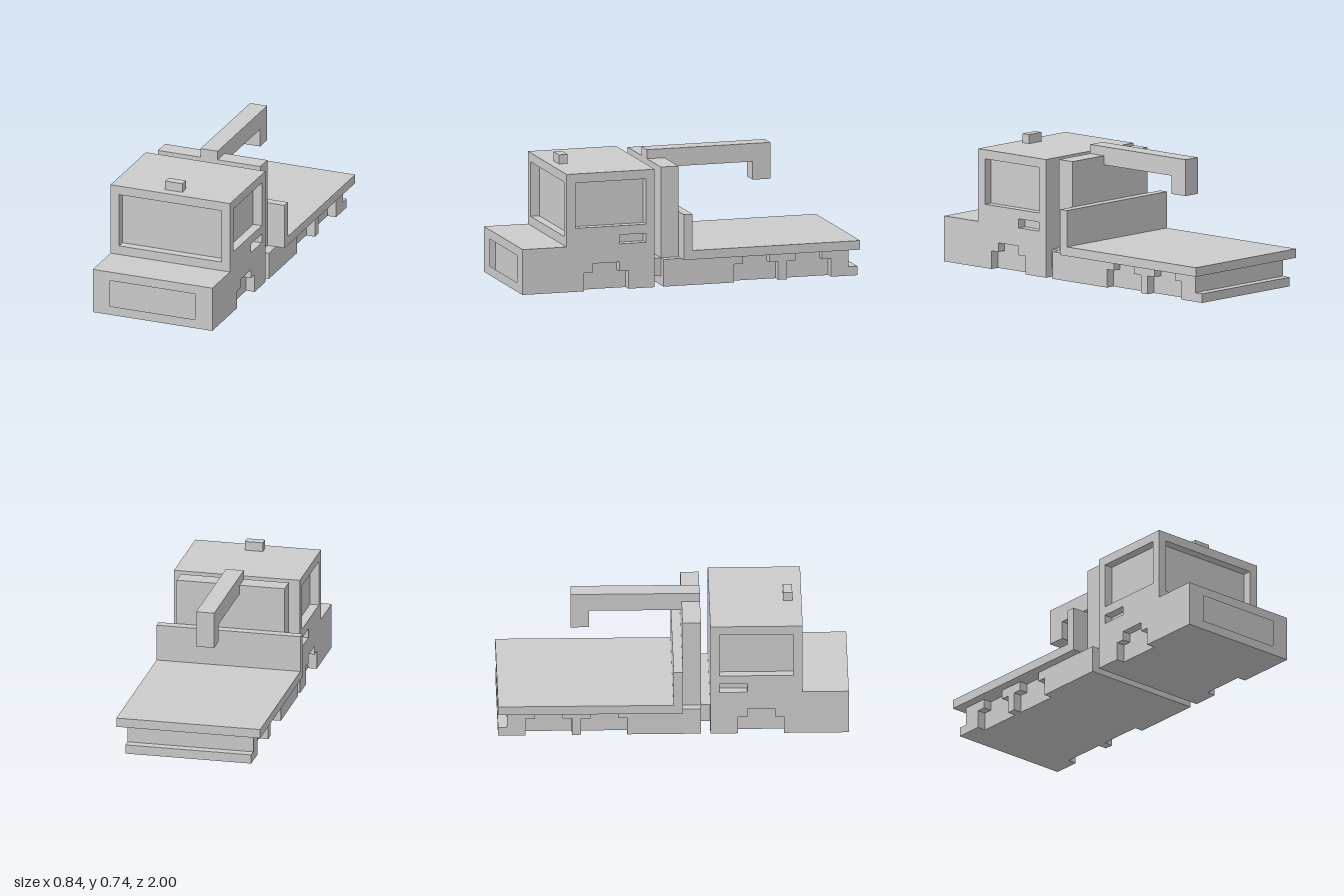
import * as THREE from 'three';

const U = 1 / 19; // one block of the model grid
const mat = new THREE.MeshStandardMaterial({ color: 0xcccccc, flatShading: true });

function add(parent, name, geo) {
  geo.scale(U, U, U);
  const mesh = new THREE.Mesh(geo, mat);
  mesh.name = name;
  parent.add(mesh);
}

// Box given by its extents in grid blocks
function block(parent, name, [x0, x1], [y0, y1], [z0, z1]) {
  const geo = new THREE.BoxGeometry(x1 - x0, y1 - y0, z1 - z0);
  geo.translate((x0 + x1) / 2, (y0 + y1) / 2, (z0 + z1) / 2);
  add(parent, name, geo);
}

const toShape = (pts) => new THREE.Shape(pts.map(([a, b]) => new THREE.Vector2(a, b)));
const rect = (a0, a1, b0, b1) => [[a0, b0], [a0, b1], [a1, b1], [a1, b0]];

function extrude(pts, holes, depth) {
  const shape = toShape(pts);
  holes.forEach((h) => shape.holes.push(toShape(h)));
  return new THREE.ExtrudeGeometry(shape, { depth, bevelEnabled: false });
}

// Side profile of [z, y] points extruded across x0..x1
function profile(parent, name, pts, x0, x1, holes = []) {
  const geo = extrude(pts, holes, x1 - x0);
  geo.rotateY(-Math.PI / 2);
  geo.translate(x1, 0, 0);
  add(parent, name, geo);
}

// The same profile as a one-block skin on both sides
function sidePair(parent, name, pts, holes) {
  profile(parent, name + 'Left', pts, 6, 7, holes);
  profile(parent, name + 'Right', pts, -7, -6, holes);
}

function createCab() {
  const cab = new THREE.Group();
  cab.name = 'cab';

  // Core, one block inside the outer skin
  profile(cab, 'cabCore', [[4, 0], [18, 0], [18, 5], [13, 5], [13, 13], [4, 13]], -6, 6);

  // Side skins with stepped wheel arch, window and door handle recess
  const arch = [[7, 0], [7, 2], [8, 2], [8, 3], [11, 3], [11, 2], [12, 2], [12, 0]];
  const outline = [[4, 0], ...arch, [19, 0], [19, 5], [14, 5], [14, 13], [4, 13]];
  sidePair(cab, 'cabSide', outline, [rect(5, 13, 7, 12), rect(5, 8, 5, 6)]);

  // Windscreen rails
  block(cab, 'windscreenSill', [-6, 6], [5, 6], [13, 14]);
  block(cab, 'windscreenHeader', [-6, 6], [12, 13], [13, 14]);

  // Grille frame
  const grille = extrude(rect(-6, 6, 0, 5), [rect(-5, 5, 1, 4)], 1);
  grille.translate(0, 0, 18);
  add(cab, 'grilleFrame', grille);

  block(cab, 'roofLight', [-1, 1], [13, 14], [12, 13]);
  return cab;
}

function createTrailer() {
  const trailer = new THREE.Group();
  trailer.name = 'trailer';

  // Chassis core with rear bumper step
  profile(trailer, 'chassisCore', [[-19, 0], [3, 0], [3, 3], [-18, 3], [-18, 1], [-19, 1]], -6, 6);

  // Side skins, leaving two stepped wheel arches between them
  sidePair(trailer, 'chassisSideFront', [[-5, 0], [3, 0], [3, 3], [-6, 3], [-6, 2], [-5, 2]]);
  sidePair(trailer, 'chassisSideMiddle',
    [[-11, 0], [-10, 0], [-10, 2], [-9, 2], [-9, 3], [-12, 3], [-12, 2], [-11, 2]]);
  sidePair(trailer, 'chassisSideRear',
    [[-19, 0], [-16, 0], [-16, 2], [-15, 2], [-15, 3], [-18, 3], [-18, 1], [-19, 1]]);

  block(trailer, 'coupling', [-6, 6], [1, 3], [3, 4]);

  // Flat bed with raised headboard
  profile(trailer, 'flatBed', [[-19, 3], [1, 3], [1, 8], [0, 8], [0, 4], [-19, 4]], -8, 8);

  // Crane tower and hooked arm
  block(trailer, 'craneTower', [-6, 6], [3, 13], [1, 3]);
  profile(trailer, 'craneArm',
    [[-11, 10], [-9, 10], [-9, 12], [3, 12], [3, 14], [-11, 14]], -1, 1);
  return trailer;
}

export function createModel() {
  const model = new THREE.Group();
  model.name = 'flatbedTruck';
  model.add(createCab(), createTrailer());
  return model;
}
